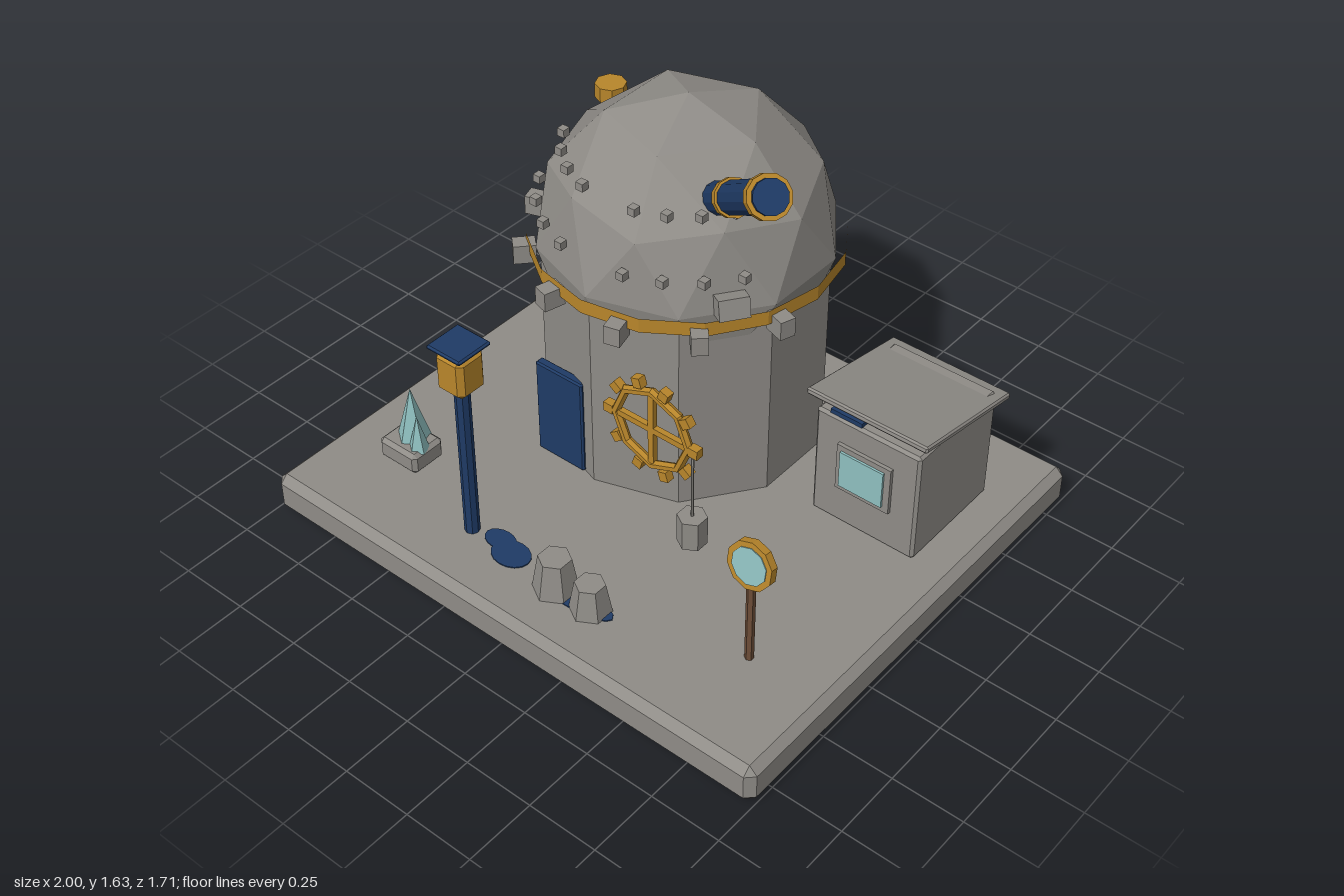
import * as THREE from 'three';
import { ConvexGeometry } from 'three/addons/geometries/ConvexGeometry.js';

const paint = (name, color) => {
  const m = new THREE.MeshStandardMaterial({ color, flatShading: true });
  m.name = name;
  return m;
};

export function createModel() {
  const model = new THREE.Group();
  model.name = 'observatory';
  const stone = paint('stone grey', 0x8f8c87);
  const gold = paint('brass', 0xb8862b);
  const navy = paint('navy blue', 0x1f3b66);
  const wood = paint('brown wood', 0x6e4e38);
  const glass = paint('pale teal', 0x8fbfbf);

  const group = (name, x = 0, y = 0, z = 0) => {
    const g = new THREE.Group();
    g.name = name;
    g.position.set(x, y, z);
    model.add(g);
    return g;
  };
  const add = (parent, name, geo, mat, x = 0, y = 0, z = 0) => {
    const m = new THREE.Mesh(geo, mat);
    m.name = name;
    m.position.set(x, y, z);
    parent.add(m);
    return m;
  };
  const box = (w, h, d) => new THREE.BoxGeometry(w, h, d);
  const cyl = (top, bottom, h, n) => new THREE.CylinderGeometry(top, bottom, h, n);
  // box with every edge cut off by k
  const chamferBox = (w, h, d, k) => {
    const pts = [];
    for (const sx of [-1, 1]) for (const sy of [-1, 1]) for (const sz of [-1, 1]) {
      const [a, b, c] = [w / 2, h / 2, d / 2];
      pts.push(new THREE.Vector3(sx * a, sy * (b - k), sz * (c - k)));
      pts.push(new THREE.Vector3(sx * (a - k), sy * b, sz * (c - k)));
      pts.push(new THREE.Vector3(sx * (a - k), sy * (b - k), sz * c));
    }
    return new ConvexGeometry(pts);
  };
  const floor = 0.145;

  add(model, 'basePlate', chamferBox(2, floor, 1.71, 0.028), stone, 0, floor / 2, 0);

  // Tower with faceted dome
  const tower = group('tower', -0.17, 0, -0.285);
  add(tower, 'towerWall', cyl(0.485, 0.485, 0.765, 10), stone, 0, 0.5225, 0);
  const domeGeo = new THREE.IcosahedronGeometry(0.5, 1);
  domeGeo.rotateX(-Math.atan((1 + Math.sqrt(5)) / 2)).rotateY(Math.PI / 2);
  add(tower, 'dome', domeGeo, stone, 0, 0.912, 0);
  add(tower, 'domeBand', new THREE.CylinderGeometry(0.522, 0.522, 0.052, 16, 1, true), gold, 0, 0.89, 0);

  // Studs on the dome and brackets under the band, mirrored about the front
  const rad = THREE.MathUtils.degToRad;
  for (const s of [-1, 1]) {
    for (const deg of [15, 30, 45, 60]) {
      const a = rad(deg) * s;
      for (const [r, y] of [[0.485, 1.04], [0.4, 1.225]]) {
        add(tower, 'domeStud', box(0.028, 0.028, 0.028), stone, r * Math.sin(a), y, r * Math.cos(a));
      }
    }
    for (const deg of [15, 43, 72]) {
      const a = rad(deg) * s;
      add(tower, 'bandBracket', box(0.055, 0.068, 0.075), stone,
        0.53 * Math.sin(a), 0.86, 0.53 * Math.cos(a)).rotation.y = a;
    }
  }
  const hatch = add(tower, 'domeHatch', box(0.1, 0.07, 0.09), stone, 0.395, 0.948, 0.278);
  hatch.rotation.set(-0.25, rad(55), 0, 'YXZ');

  // Telescope, built along y then aimed
  const scope = group('telescope', 0.1, 1.235, -0.1);
  const aim = new THREE.Vector3(0.41, 0.345, 0.295);
  const len = aim.length();
  scope.quaternion.setFromUnitVectors(new THREE.Vector3(0, 1, 0), aim.normalize());
  add(scope, 'telescopeTube', cyl(0.054, 0.054, len + 0.02, 12), navy, 0, len / 2, 0);
  add(scope, 'telescopeMiddleRing', cyl(0.062, 0.062, 0.035, 12), gold, 0, len * 0.29, 0);
  add(scope, 'telescopeEndRing', cyl(0.068, 0.068, 0.04, 12), gold, 0, len - 0.025, 0);

  // Door
  add(model, 'door', chamferBox(0.2, 0.37, 0.035, 0.006), navy, -0.32, floor + 0.185, 0.177);

  // Gear wheel
  const gear = group('gearWheel', 0.112, 0.545, 0.232);
  add(gear, 'gearRim', new THREE.TorusGeometry(0.148, 0.016, 6, 8), gold);
  add(gear, 'gearSpoke', box(0.29, 0.022, 0.02), gold);
  add(gear, 'gearSpoke', box(0.022, 0.29, 0.02), gold);
  for (let i = 0; i < 10; i++) {
    const a = (i * Math.PI) / 5;
    add(gear, 'gearTooth', box(0.036, 0.034, 0.03), gold,
      0.172 * Math.cos(a), 0.172 * Math.sin(a), 0).rotation.z = a;
  }

  // Hanging counterweight
  const weight = group('counterweight', 0.283, 0, 0.243);
  add(weight, 'weightBlock', cyl(0.05, 0.05, 0.11, 6), stone, 0, 0.23, 0);
  add(weight, 'weightRod', cyl(0.005, 0.005, 0.25, 6), stone, 0, 0.4, 0);

  // Lamp post
  const lamp = group('lampPost', -0.316, 0, 0.625);
  add(lamp, 'lampPole', cyl(0.026, 0.026, 0.61, 8), navy, 0, floor + 0.305, 0);
  add(lamp, 'lantern', chamferBox(0.114, 0.15, 0.114, 0.018), gold, 0, 0.812, 0);
  add(lamp, 'lanternNeck', box(0.08, 0.02, 0.08), gold, 0, 0.888, 0);
  add(lamp, 'lanternCap', chamferBox(0.14, 0.016, 0.14, 0.006), navy, 0, 0.902, 0);

  // Flat painted pools on the ground
  const pool = (x, z, rx, rz) =>
    add(model, 'pool', cyl(1, 1, 0.004, 16), navy, x, floor + 0.002, z).scale.set(rx, 1, rz);
  pool(-0.21, 0.605, 0.06, 0.04);
  pool(-0.14, 0.632, 0.072, 0.056);
  pool(0.143, 0.645, 0.153, 0.046);

  // Hexagonal stools with a small peg between them
  add(model, 'stoolTall', cyl(0.055, 0.077, 0.13, 6), stone, 0.068, floor + 0.065, 0.65);
  add(model, 'stoolShort', cyl(0.05, 0.07, 0.11, 6), stone, 0.212, floor + 0.055, 0.65);
  add(model, 'peg', cyl(0.02, 0.032, 0.04, 8), wood, 0.17, floor + 0.02, 0.6);

  // Round mirror on a post
  const mirror = group('mirrorStand', 0.713, 0, 0.498);
  add(mirror, 'mirrorPost', cyl(0.015, 0.015, 0.33, 6), wood, 0, floor + 0.165, 0);
  const head = new THREE.Group();
  head.name = 'mirrorHead';
  head.position.y = 0.535;
  head.rotation.x = Math.PI / 2 - 0.17;
  mirror.add(head);
  add(head, 'mirrorFrame', cyl(0.083, 0.083, 0.028, 10), gold);
  add(head, 'mirrorGlass', cyl(0.064, 0.064, 0.034, 10), glass);

  // Banner on a pole
  const banner = group('bannerPole', -0.773, 0, -0.605);
  add(banner, 'pole', cyl(0.034, 0.034, 0.865, 8), wood, 0, floor + 0.4325, 0);
  add(banner, 'poleCap', cyl(0.056, 0.056, 0.055, 8), gold, 0, 1.028, 0);
  add(banner, 'bannerPanel', chamferBox(0.31, 0.31, 0.025, 0.005), navy, 0.175, 0.815, 0);

  // Hut with a sloping roof
  const hut = group('hut', 0.657, 0, -0.367);
  add(hut, 'hutWalls', chamferBox(0.395, 0.425, 0.425, 0.01), stone, 0, floor + 0.2125, 0);
  const roof = add(hut, 'hutRoof', chamferBox(0.455, 0.024, 0.485, 0.006), stone, 0, 0.588, -0.008);
  roof.rotation.x = -0.185;
  add(hut, 'windowFrame', box(0.205, 0.18, 0.02), stone, 0, 0.387, 0.216);
  add(hut, 'windowGlass', box(0.165, 0.14, 0.008), glass, -0.003, 0.387, 0.23);
  add(hut, 'eavePatch', box(0.12, 0.016, 0.05), navy, -0.087, 0.578, 0.182);

  // Crystal planter
  const planter = group('crystalPlanter', -0.716, 0, 0.497);
  add(planter, 'planterBox', chamferBox(0.167, 0.08, 0.137, 0.014), stone, 0, floor + 0.04, 0);
  add(planter, 'crystalTall', new THREE.ConeGeometry(0.06, 0.21, 5), glass, 0, 0.32, -0.015);
  add(planter, 'crystalShort', new THREE.ConeGeometry(0.036, 0.14, 5), glass, 0.053, 0.285, 0.015);

  return model;
}
